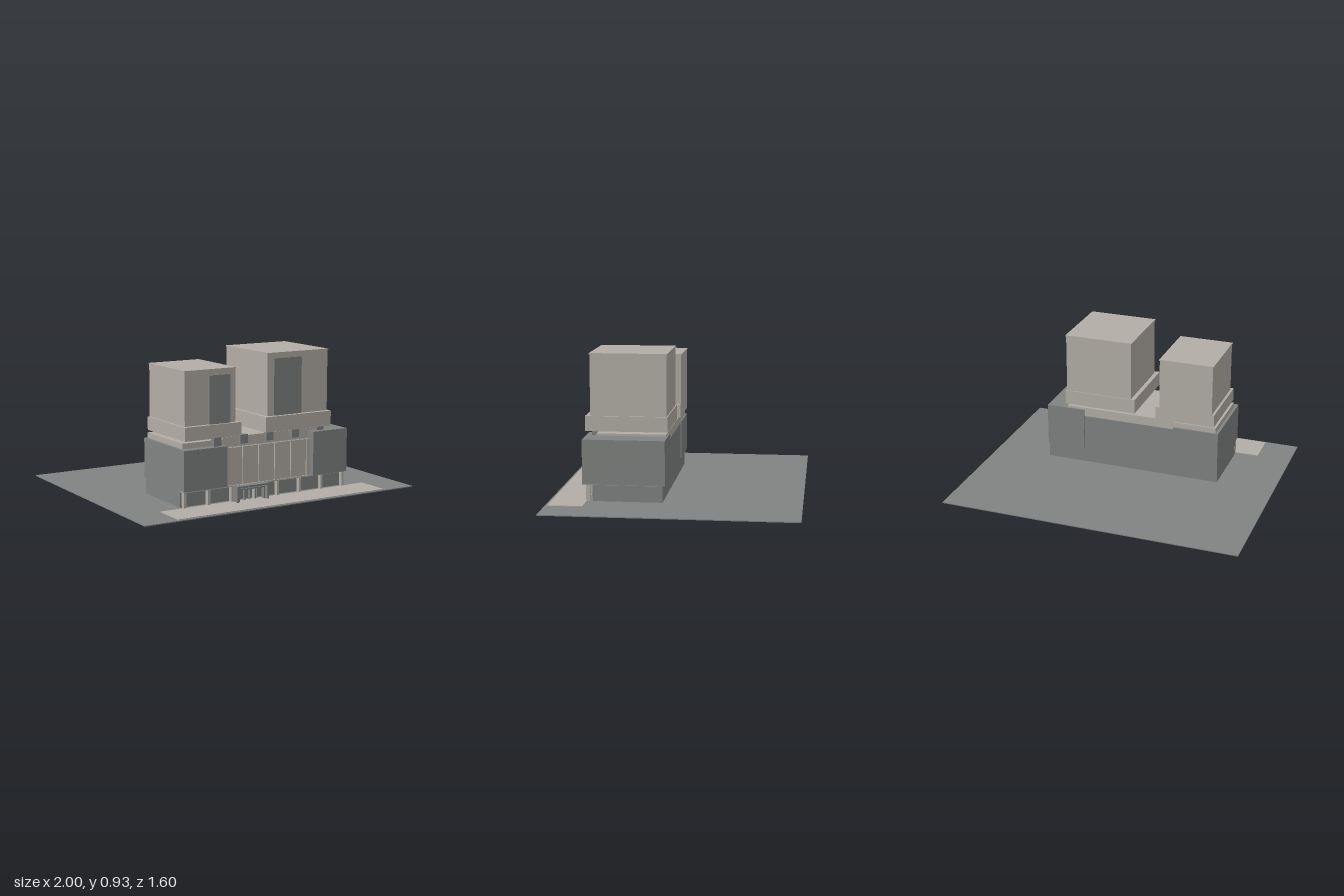
import * as THREE from 'three';

const stone = new THREE.MeshStandardMaterial({ color: 0xb2aea6 });
stone.name = 'pale stone';
const slate = new THREE.MeshStandardMaterial({ color: 0x808381 });
slate.name = 'grey slate';

// Box given by its min and max on each axis
function block(parent, name, mat, x0, x1, y0, y1, z0, z1) {
  const mesh = new THREE.Mesh(new THREE.BoxGeometry(x1 - x0, y1 - y0, z1 - z0), mat);
  mesh.position.set((x0 + x1) / 2, (y0 + y1) / 2, (z0 + z1) / 2);
  mesh.name = name;
  parent.add(mesh);
  return mesh;
}

function group(parent, name) {
  const g = new THREE.Group();
  g.name = name;
  parent.add(g);
  return g;
}

// Tower on a wider base, with a thin roof rim and a dark window plate
function tower(parent, name, t, base, win) {
  const g = group(parent, name);
  const [x0, x1, y0, y1, z0, z1] = t;
  const o = 0.004;
  block(g, 'towerBase', stone, ...base);
  block(g, 'towerBody', stone, x0, x1, y0, y1 - 0.008, z0, z1);
  block(g, 'roofRim', stone, x0 - o, x1 + o, y1 - 0.008, y1, z0 - o, z1 + o);
  block(g, 'towerWindow', slate, win[0], win[1], y0, win[2], z1, z1 + win[3]);
}

export function createModel() {
  const model = new THREE.Group();
  model.name = 'building';

  // Site
  block(model, 'ground', slate, -1, 1, 0, 0.006, -0.8, 0.8);
  block(model, 'forecourt', stone, -0.77, 0.77, 0.006, 0.01, 0.56, 0.785);

  // Recessed ground floor with a colonnade
  const lower = group(model, 'groundFloor');
  block(lower, 'groundFloorWall', slate, -0.61, 0.61, 0.006, 0.11, 0.08, 0.525);
  block(lower, 'colonnadeBeam', stone, -0.61, 0.61, 0.104, 0.112, 0.525, 0.568);
  for (let i = 0; i < 8; i++) {
    const x = -0.598 + i * 0.171;
    block(lower, 'column', stone, x - 0.009, x + 0.009, 0.006, 0.105, 0.54, 0.568);
  }

  // Entrance: outer frame, inner frame and doors
  const entrance = group(model, 'entrance');
  for (const x of [-0.25, -0.028]) {
    block(entrance, 'entrancePost', slate, x, x + 0.013, 0.006, 0.1, 0.57, 0.617);
  }
  block(entrance, 'entranceCanopy', slate, -0.25, -0.015, 0.098, 0.112, 0.57, 0.617);
  for (const x of [-0.231, -0.042]) {
    block(entrance, 'innerPost', slate, x, x + 0.008, 0.006, 0.09, 0.57, 0.6);
  }
  block(entrance, 'innerLintel', slate, -0.231, -0.034, 0.083, 0.091, 0.57, 0.6);
  for (const x of [-0.172, -0.133, -0.094]) {
    block(entrance, 'doorPost', slate, x, x + 0.006, 0.01, 0.08, 0.555, 0.575);
  }
  block(entrance, 'doorLintel', slate, -0.172, -0.088, 0.075, 0.081, 0.555, 0.575);

  // Podium: dark core between two wings
  const podium = group(model, 'podium');
  block(podium, 'podiumCore', slate, -0.3, 0.342, 0.112, 0.352, 0.075, 0.55);
  block(podium, 'rightWing', slate, -0.612, -0.3, 0.112, 0.37, 0.065, 0.58);
  block(podium, 'leftWing', slate, 0.342, 0.61, 0.112, 0.4, 0.065, 0.592);

  // Stone facade panels with narrow joints
  const edges = [-0.3, -0.18, -0.06, 0.062, 0.186, 0.309, 0.342];
  for (let i = 0; i < edges.length - 1; i++) {
    block(podium, 'facadePanel', stone, edges[i] + 0.003, edges[i + 1] - 0.003, 0.112, 0.352, 0.55, 0.56);
  }

  // Set-back roof slabs
  block(podium, 'rightRoofSlab', stone, -0.592, -0.3, 0.37, 0.405, 0.075, 0.525);
  block(podium, 'mainRoofSlab', stone, -0.3, 0.462, 0.352, 0.414, 0.075, 0.525);

  // Dark brackets under the tower bases
  for (let i = 0; i < 5; i++) {
    const x = -0.36 + i * 0.195;
    block(podium, 'bracket', slate, x - 0.027, x + 0.027, 0.37, 0.427, 0.525, 0.557);
  }

  // Towers
  tower(model, 'rightTower', [-0.567, -0.203, 0.505, 0.85, 0.058, 0.512],
    [-0.583, -0.175, 0.418, 0.505, 0.06, 0.54], [-0.397, -0.245, 0.812, 0.012]);
  tower(model, 'leftTower', [0.004, 0.465, 0.528, 0.93, 0.072, 0.563],
    [-0.025, 0.476, 0.43, 0.528, 0.066, 0.594], [0.05, 0.26, 0.893, 0.006]);

  return model;
}
